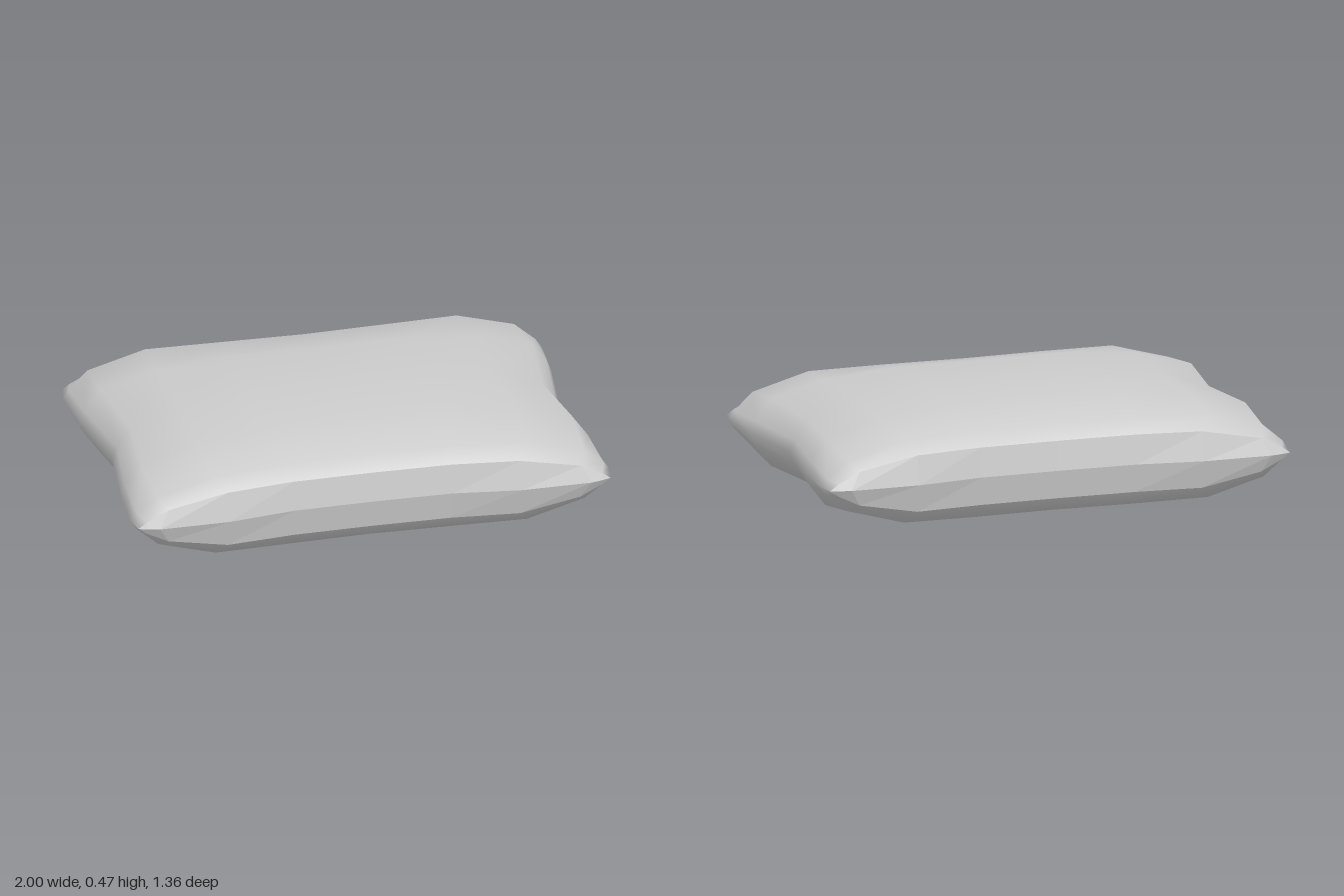
import * as THREE from 'three';

const MID = 0.237; // height of the seam line

// Half cross-sections from the centre line (x = 0) out to the side seam:
// x positions, z positions and half thickness h of each row.
const centreRow = {
  x: [0, 0.36, 0.65, 0.86, 0.915, 0.935],
  z: [0, 0, 0, 0, 0, 0],
  h: [0.237, 0.235, 0.205, 0.13, 0.05, 0],
};
const middleRow = {
  x: [0, 0.37, 0.67, 0.9, 0.965, 0.985],
  z: [0.325, 0.33, 0.34, 0.34, 0.345, 0.35],
  h: [0.233, 0.232, 0.203, 0.14, 0.05, 0],
};
const shoulderRow = {
  x: [0, 0.35, 0.65, 0.89, 0.975, 1],
  z: [0.565, 0.575, 0.6, 0.6, 0.585, 0.57],
  h: [0.18, 0.18, 0.172, 0.105, 0.035, 0],
};
const creaseRow = {
  x: [0, 0.33, 0.61, 0.86, 0.95, 0.985],
  z: [0.615, 0.62, 0.65, 0.655, 0.655, 0.655],
  h: [0.12, 0.12, 0.118, 0.07, 0.025, 0],
};
const bandRow = {
  x: [0, 0.33, 0.61, 0.9, 0.95, 0.985],
  z: [0.637, 0.642, 0.68, 0.68, 0.668, 0.655],
  h: [0, 0, 0, 0, 0, 0],
};

// Full row from left to right; side flips the thickness, front flips z
function fullRow(row, side, front) {
  const points = [];
  for (let k = -5; k <= 5; k++) {
    const a = Math.abs(k);
    points.push([Math.sign(k) * row.x[a], MID + side * row.h[a], front * row.z[a]]);
  }
  return points;
}

// Skin a list of rows of points; closed rows wrap around
function skin(rows, closed) {
  const n = rows[0].length;
  const index = [];
  for (let j = 0; j < rows.length - 1; j++) {
    for (let i = 0; i < (closed ? n : n - 1); i++) {
      const next = (i + 1) % n;
      const a = j * n + i, b = j * n + next;
      const c = a + n, d = b + n;
      index.push(a, c, b, b, c, d);
    }
  }
  const geometry = new THREE.BufferGeometry();
  geometry.setAttribute('position', new THREE.Float32BufferAttribute(rows.flat(2), 3));
  geometry.setIndex(index);
  geometry.computeVertexNormals();
  return geometry;
}

export function createModel() {
  const group = new THREE.Group();
  group.name = 'cushion';

  // Smooth cover: loops around top and bottom, from back to front
  const halves = [creaseRow, shoulderRow, middleRow];
  const order = [
    ...halves.map((row) => [row, -1]),
    [centreRow, 1],
    ...halves.slice().reverse().map((row) => [row, 1]),
  ];
  const loops = order.map(([row, front]) => [
    ...fullRow(row, 1, front),
    ...fullRow(row, -1, front).reverse().slice(1, -1),
  ]);
  const cover = new THREE.Mesh(
    skin(loops, true),
    new THREE.MeshStandardMaterial({ color: 0xcccccc, side: THREE.DoubleSide }),
  );
  cover.name = 'cover';
  group.add(cover);

  // Faceted bands closing the front and back
  const bandGeometry = skin(
    [fullRow(creaseRow, 1, 1), fullRow(bandRow, 1, 1), fullRow(creaseRow, -1, 1)],
    false,
  );
  const bandMaterial = new THREE.MeshStandardMaterial({
    color: 0xcccccc, flatShading: true, side: THREE.DoubleSide,
  });
  for (const name of ['frontBand', 'backBand']) {
    const band = new THREE.Mesh(bandGeometry, bandMaterial);
    band.name = name;
    if (name === 'backBand') band.rotation.y = Math.PI;
    group.add(band);
  }
  return group;
}
